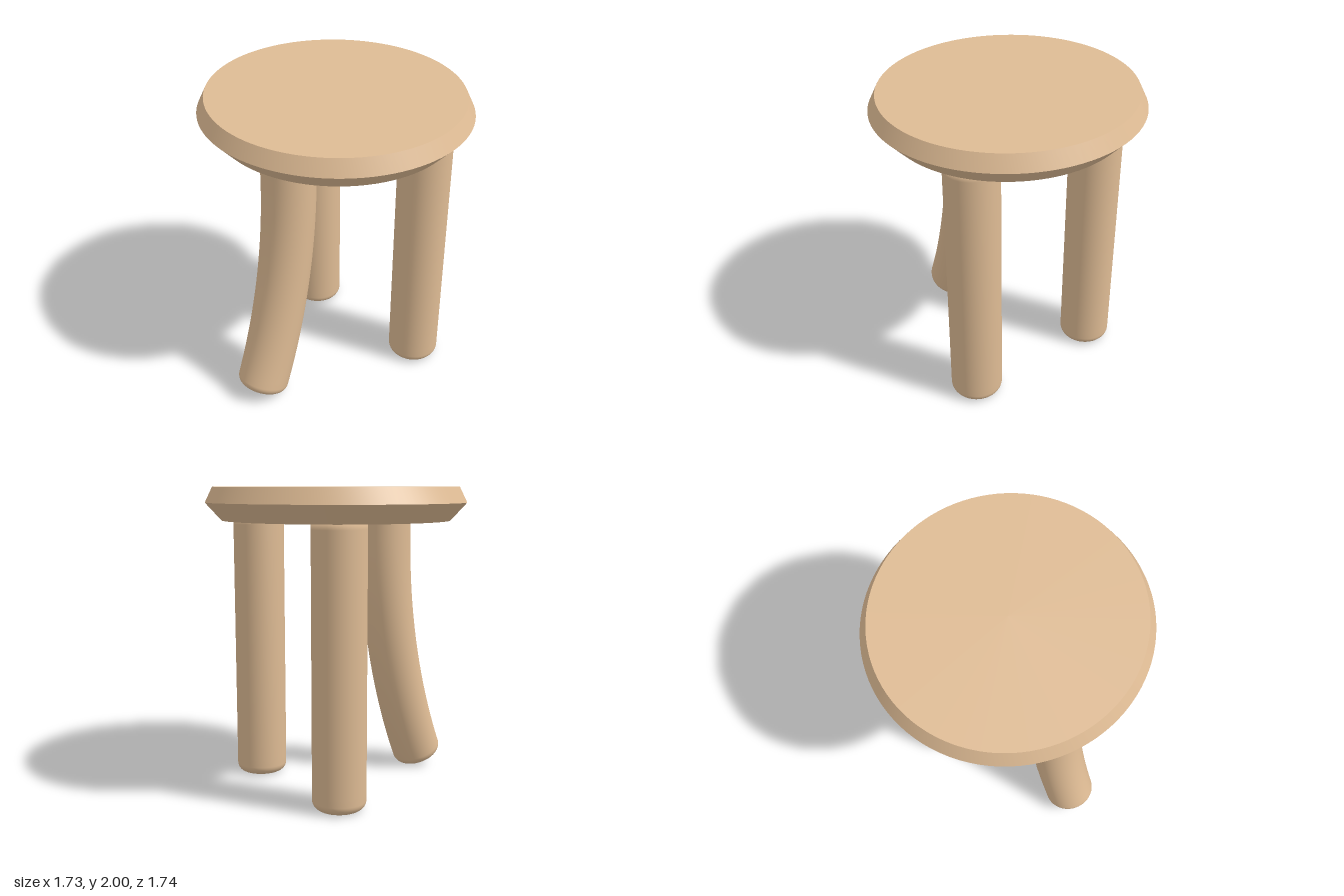
import * as THREE from 'three';
import { toCreasedNormals } from 'three/addons/utils/BufferGeometryUtils.js';

const wood = new THREE.MeshStandardMaterial({ color: 0xdebb94 });
const SEAT_BOTTOM = 1.785;
const LEG_RADIUS = 0.172;

// Upright round leg from the seat down to y = foot, with a softened foot edge
function legGeometry(foot, top) {
  const round = 0.06;
  const points = [new THREE.Vector2(0, foot), new THREE.Vector2((LEG_RADIUS - round) * 0.9, foot)];
  for (let i = 0; i <= 8; i++) {
    const a = (i / 8) * Math.PI / 2;
    points.push(new THREE.Vector2(
      LEG_RADIUS - round + round * Math.sin(a),
      foot + round - round * Math.cos(a)));
  }
  const start = foot + round;
  for (let i = 1; i <= 32; i++) {
    points.push(new THREE.Vector2(LEG_RADIUS, start + (top - start) * i / 32));
  }
  points.push(new THREE.Vector2(0, top));
  return new THREE.LatheGeometry(points, 48);
}

// Bend everything below y = start along a circular arc towards -x
function bend(geometry, start, radius) {
  const pos = geometry.attributes.position;
  const nor = geometry.attributes.normal;
  const axis = new THREE.Vector3(0, 0, 1);
  const p = new THREE.Vector3();
  const n = new THREE.Vector3();
  for (let i = 0; i < pos.count; i++) {
    p.fromBufferAttribute(pos, i);
    if (p.y >= start) continue;
    const angle = (start - p.y) / radius;
    const c = Math.cos(angle), s = Math.sin(angle);
    pos.setXYZ(i, -radius * (1 - c) + p.x * c, start - radius * s - p.x * s, p.z);
    n.fromBufferAttribute(nor, i).applyAxisAngle(axis, -angle);
    nor.setXYZ(i, n.x, n.y, n.z);
  }
  return geometry;
}

export function createModel() {
  const model = new THREE.Group();
  model.name = 'stool';
  const add = (name, geometry, x, z) => {
    const mesh = new THREE.Mesh(geometry, wood);
    mesh.name = name;
    mesh.position.set(x, 0, z);
    model.add(mesh);
    return mesh;
  };

  // Round seat with a bevelled rim, a touch deeper than wide
  const rim = [[0, SEAT_BOTTOM], [0.744, SEAT_BOTTOM], [0.848, 1.9], [0.8, 2], [0, 2]];
  const seatGeometry = new THREE.LatheGeometry(rim.map(([r, y]) => new THREE.Vector2(r, y)), 96);
  seatGeometry.scale(1, 1, 1.023);
  add('seat', toCreasedNormals(seatGeometry, 0.4), 0.017, 0);

  // Two straight legs
  const top = SEAT_BOTTOM + 0.02;
  add('frontLeg', legGeometry(0, top), 0.317, 0.49);
  add('backLeg', legGeometry(0, top), 0.323, -0.47);

  // Curved leg: the arc length sets how far its foot kicks out
  const bendStart = 1.65, bendRadius = 4.13, bendAngle = 0.398;
  const curved = legGeometry(bendStart - bendRadius * bendAngle, top);
  add('curvedLeg', bend(curved, bendStart, bendRadius), -0.405, 0);

  return model;
}
